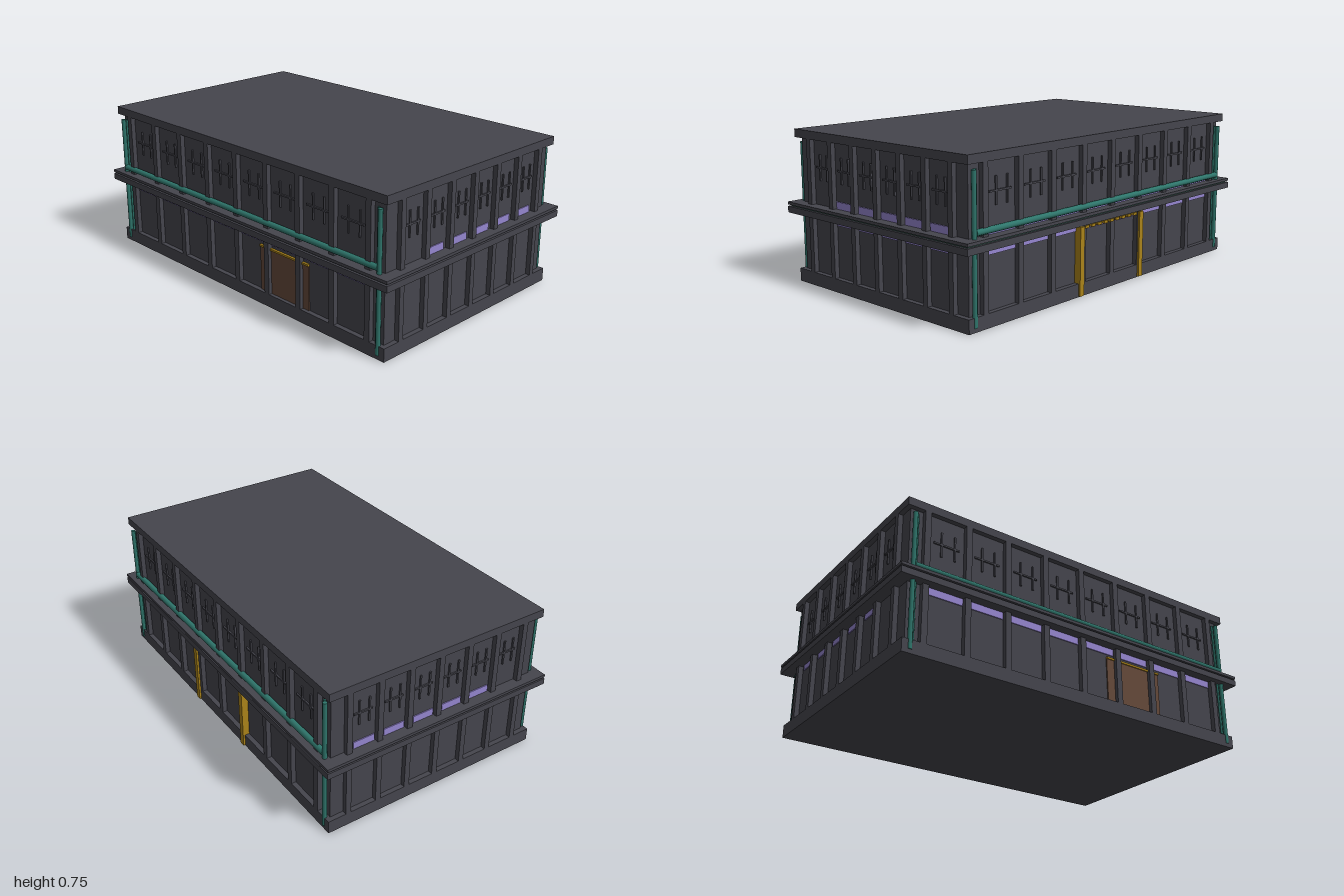
import * as THREE from 'three';

const mat = (name, color) => {
  const m = new THREE.MeshStandardMaterial({ color });
  m.name = name;
  return m;
};

export function createModel() {
  const root = new THREE.Group();
  root.name = 'building';
  const wall = mat('charcoal wall', 0x45454d);
  const glass = mat('lilac window', 0x9586cf);
  const teal = mat('teal pipe', 0x2f766c);
  const green = mat('dark green trim', 0x2c4a42);
  const brown = mat('brown door', 0x65493a);
  const yellow = mat('yellow frame', 0xab841a);

  const X = 0.965, Z = 0.592, H = 0.755, R = 0.024; // outer faces and recess depth

  function box(parent, name, m, x0, x1, y0, y1, z0, z1) {
    const mesh = new THREE.Mesh(new THREE.BoxGeometry(x1 - x0, y1 - y0, z1 - z0), m);
    mesh.position.set((x0 + x1) / 2, (y0 + y1) / 2, (z0 + z1) / 2);
    mesh.name = name;
    parent.add(mesh);
    return mesh;
  }
  function pipe(parent, name, r, length, x, y, z, alongX) {
    const mesh = new THREE.Mesh(new THREE.CylinderGeometry(r, r, length, 10), teal);
    if (alongX) mesh.rotation.z = Math.PI / 2;
    mesh.position.set(x, y, z);
    mesh.name = name;
    parent.add(mesh);
  }

  // Main volume, plinth and cornice
  box(root, 'core', wall, -X + R, X - R, 0.03, H - 0.02, -Z + R, Z - R);
  box(root, 'plinth', wall, -X, X, 0, 0.065, -Z, Z);
  box(root, 'cornice', wall, -X, X, 0.715, H, -Z, Z);

  // Projecting ledge with a slim trim line
  box(root, 'ledgeLower', wall, -1, 1, 0.347, 0.378, -0.622, 0.622);
  box(root, 'ledgeTrim', green, -0.988, 0.988, 0.378, 0.386, -0.61, 0.61);
  box(root, 'ledgeUpper', wall, -1, 1, 0.386, 0.4, -0.622, 0.622);

  // One facade in local space: +z outward, pilasters flush with the cornice
  function facade(name, depth, bays, pitch, pilaster, windowBays, winW, winShift, winY) {
    const g = new THREE.Group();
    g.name = name;
    const back = depth - R;
    for (let i = 0; i <= bays; i++) {
      const x = (i - bays / 2) * pitch;
      box(g, 'pilaster', wall, x - pilaster / 2, x + pilaster / 2, 0.06, 0.72, back - 0.01, depth);
    }
    for (let i = 0; i < bays; i++) {
      const c = (i - (bays - 1) / 2) * pitch;
      // raised glazing bars on the upper storey
      const w = (pitch - pilaster) * 0.36;
      box(g, 'crossBar', wall, c - w, c + w, 0.578, 0.586, back - 0.005, back + 0.007);
      for (const s of [-0.12, 0.2])
        box(g, 'uprightBar', wall, c + s * pitch - 0.004, c + s * pitch + 0.004, 0.52, 0.645, back - 0.005, back + 0.007);
      if (windowBays.includes(i)) {
        const wc = c + winShift;
        box(g, 'window', glass, wc - winW / 2, wc + winW / 2, winY[0], winY[1], back - 0.003, back + 0.005);
      }
    }
    root.add(g);
    return g;
  }
  const all = [0, 1, 2, 3, 4, 5, 6, 7];
  const front = facade('frontFacade', Z, 8, 0.2155, 0.031, all, 0.18, 0, [0.312, 0.42]);
  const rear = facade('backFacade', Z, 8, 0.2155, 0.031, all, 0.18, 0, [0.312, 0.42]);
  rear.rotation.y = Math.PI;
  const left = facade('leftFacade', X, 6, 0.162, 0.028, [1, 2, 3, 4, 5], 0.11, -0.007, [0.32, 0.435]);
  left.rotation.y = Math.PI / 2;
  const right = facade('rightFacade', X, 6, 0.162, 0.028, [0, 1, 2, 3, 4], 0.11, 0.007, [0.32, 0.435]);
  right.rotation.y = -Math.PI / 2;

  // Pipes in the notched corners and along the ledge
  for (const g of [front, rear]) {
    for (const s of [-1, 1]) {
      pipe(g, 'cornerPipe', 0.011, 0.67, s * 0.925, 0.355, 0.587, false);
      pipe(g, 'cornerPipe', 0.006, 0.67, s * 0.908, 0.355, 0.578, false);
    }
    pipe(g, 'ledgePipe', 0.015, 1.84, 0, 0.425, 0.587, true);
  }

  // Front entrance set behind the pilasters
  box(front, 'door', brown, 0.155, 0.485, 0.065, 0.287, Z - R - 0.003, Z - R + 0.006);
  box(front, 'doorLintel', yellow, 0.155, 0.485, 0.287, 0.297, Z - R - 0.003, Z - R + 0.012);

  // Rear gate: two posts and a striped lintel
  for (const x of [-0.238, 0.222])
    box(rear, 'gatePost', yellow, x - 0.015, x + 0.015, 0.004, 0.335, Z - R - 0.005, 0.602);
  for (let i = 0; i < 9; i++) {
    const x = -0.21 + i * 0.0465;
    box(rear, 'gateLintel', yellow, x, x + 0.028, 0.322, 0.335, Z - R, Z + 0.004);
  }
  return root;
}
